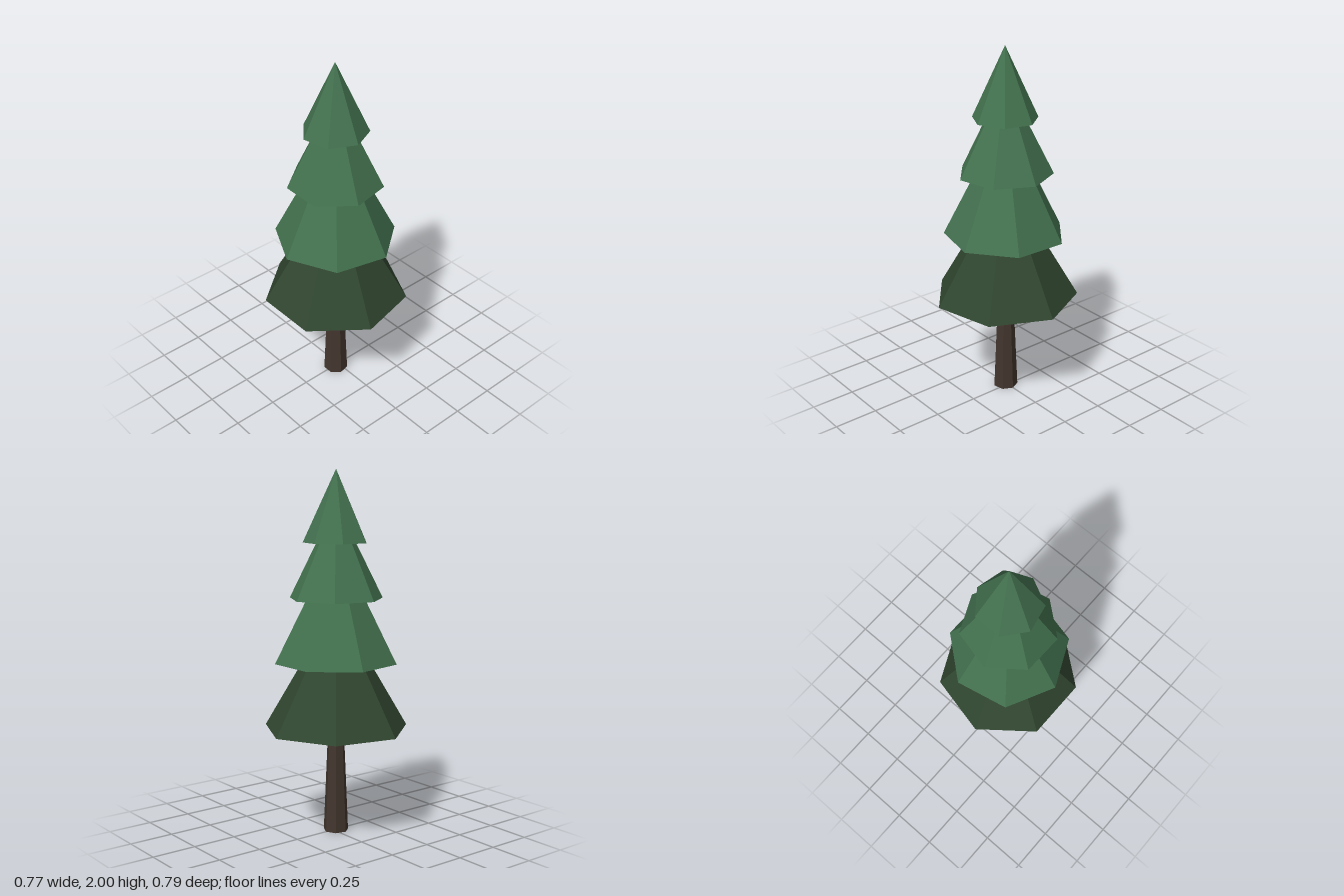
import * as THREE from 'three';

const SIDES = 7;
const AXIS_X = -0.02;

export function createModel() {
  const tree = new THREE.Group();
  tree.name = 'pineTree';

  const material = (name, color) => {
    const m = new THREE.MeshStandardMaterial({ color, flatShading: true });
    m.name = name;
    return m;
  };
  const bark = material('bark brown', 0x43362e);
  const darkGreen = material('dark green', 0x30462f);
  const green = material('pine green', 0x43724f);

  // A seven-sided solid standing between two heights; turn places one corner
  const addPart = (name, mat, bottom, top, rBottom, rTop, turn) => {
    const geometry = new THREE.CylinderGeometry(rTop, rBottom, top - bottom, SIDES, 1, false, turn);
    const mesh = new THREE.Mesh(geometry, mat);
    mesh.name = name;
    mesh.position.set(AXIS_X, (top + bottom) / 2, 0);
    tree.add(mesh);
  };

  // Tapered trunk
  addPart('trunk', bark, 0, 0.6, 0.07, 0.044, Math.PI / 2);

  // Overlapping foliage cones, lowest first
  addPart('lowestFoliage', darkGreen, 0.587, 1.276, 0.405, 0, Math.PI / 2);
  addPart('lowerFoliage', green, 0.957, 1.628, 0.338, 0, Math.PI * 1.5 - 0.015);
  addPart('upperFoliage', green, 1.307, 1.826, 0.261, 0, Math.PI / 2 - 0.02);
  addPart('topFoliage', green, 1.61, 2, 0.18, 0, -0.015);

  return tree;
}
